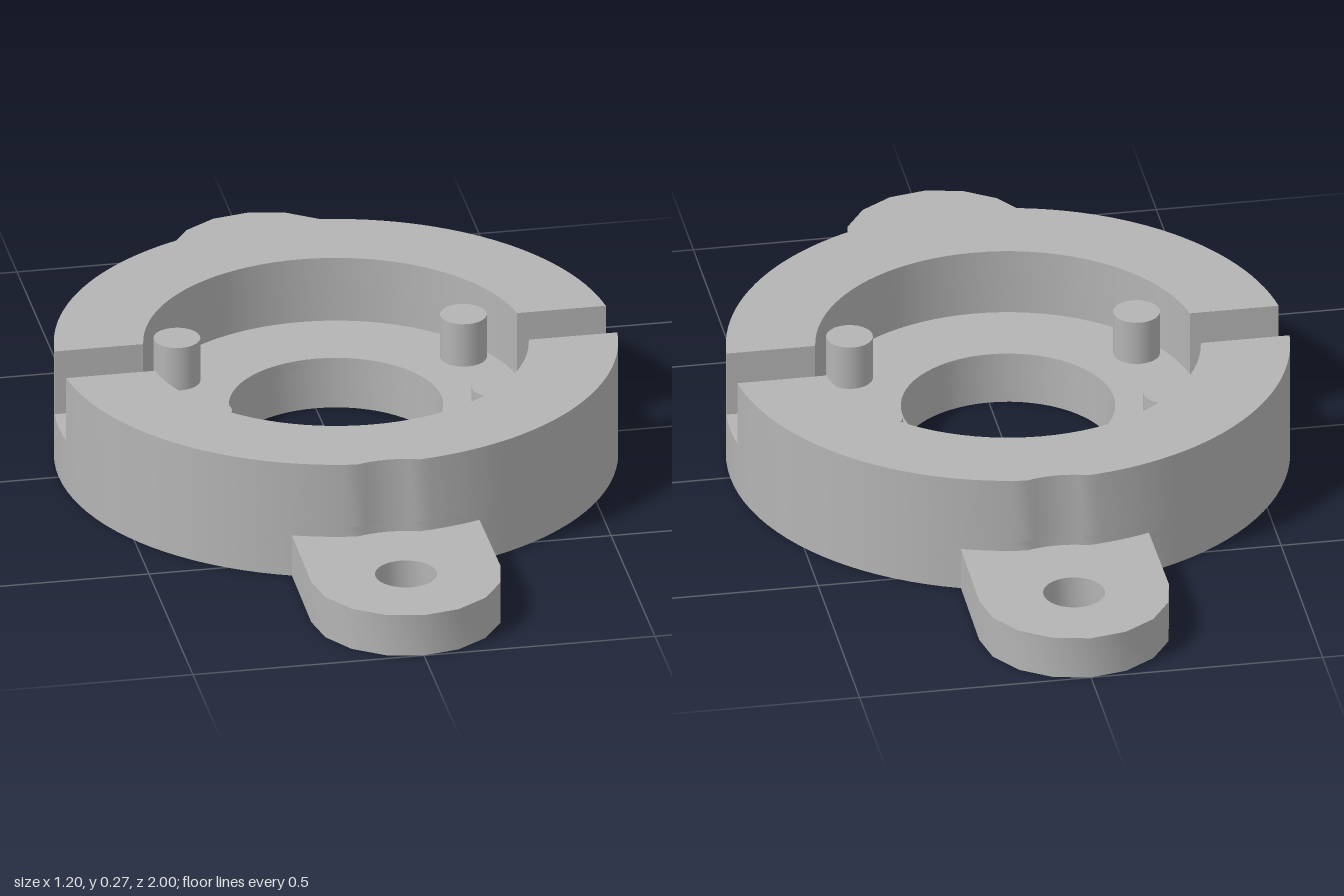
import * as THREE from 'three';
import { toCreasedNormals } from 'three/addons/utils/BufferGeometryUtils.js';

const R = 0.6, INNER = 0.41, BORE = 0.228;      // body radii
const TAB_Z = 0.795, TAB_R = 0.205, CLEAR = 0.21; // tab centre, tab radius, screw-head clearance
const TAB_H = 0.095, FLOOR = 0.117, TOP = 0.265, SLOT = 0.066;

// points along an arc, from angle a to angle b
function arc(cx, cy, r, a, b, n) {
  const pts = [];
  for (let i = 0; i <= n; i++) {
    const t = a + (b - a) * i / n;
    pts.push(new THREE.Vector2(cx + r * Math.cos(t), cy + r * Math.sin(t)));
  }
  return pts;
}

const opposite = pts => pts.map(p => new THREE.Vector2(-p.x, -p.y));

// flat outline with round holes, standing between heights y0 and y1
function slab(points, holes, y0, y1) {
  const shape = new THREE.Shape(points);
  for (const [x, y, r, n] of holes) {
    shape.holes.push(new THREE.Path(arc(x, y, r, 0, -Math.PI * 2, n).slice(0, -1)));
  }
  const g = new THREE.ExtrudeGeometry(shape, { depth: y1 - y0, bevelEnabled: false });
  g.rotateX(-Math.PI / 2).translate(0, y0, 0);
  return toCreasedNormals(g, 0.42);
}

export function createModel() {
  const group = new THREE.Group();
  const grey = new THREE.MeshStandardMaterial({ color: 0xb4b4b4 });
  grey.name = 'grey';
  const add = (name, geometry) => {
    const mesh = new THREE.Mesh(geometry, grey);
    mesh.name = name;
    group.add(mesh);
    return mesh;
  };

  // base plate with two mounting tabs in one outline
  const tabAngle = Math.acos(0.203 / R);
  const halfBase = [
    ...arc(0, 0, R, tabAngle - Math.PI + 2 * (Math.PI / 2 - tabAngle) + 2 * tabAngle - Math.PI + Math.PI - tabAngle - tabAngle, tabAngle, 40),
    ...arc(0, TAB_Z, TAB_R, 0, Math.PI, 8),
  ];
  add('basePlate', slab([...halfBase, ...opposite(halfBase)],
    [[0, 0, BORE, 64], [0, TAB_Z, 0.066, 32], [0, -TAB_Z, 0.066, 32]], 0, TAB_H));

  // body edge with a shallow screw-head clearance beside each tab
  const ny = (TAB_Z * TAB_Z + R * R - CLEAR * CLEAR) / (2 * TAB_Z);
  const nx = Math.sqrt(R * R - ny * ny);
  const ringA = Math.atan2(ny, nx);
  const notchA = Math.atan2(ny - TAB_Z, nx);
  const notchedEdge = start => [
    ...arc(0, 0, R, start, ringA, 28),
    ...arc(0, TAB_Z, CLEAR, notchA, -Math.PI - notchA, 6).slice(1, -1),
    ...arc(0, 0, R, Math.PI - ringA, Math.PI - start, 28),
  ];

  // inner floor
  const halfFloor = notchedEdge(0).slice(0, -1);
  add('floor', slab([...halfFloor, ...opposite(halfFloor)], [[0, 0, BORE, 64]], TAB_H, FLOOR));

  // two wall halves, parted by the side slots
  const slotOut = Math.asin(SLOT / R), slotIn = Math.asin(SLOT / INNER);
  const halfWall = [
    ...notchedEdge(slotOut),
    ...arc(0, 0, INNER, Math.PI - slotIn, slotIn, 40),
  ];
  add('backWall', slab(halfWall, [], FLOOR, TOP));
  add('frontWall', slab(opposite(halfWall), [], FLOOR, TOP));

  // four locating pegs
  const pegGeometry = new THREE.CylinderGeometry(0.05, 0.05, 0.1, 24);
  for (const x of [-0.31, 0.31]) {
    for (const z of [-0.18, 0.18]) {
      add('peg', pegGeometry).position.set(x, FLOOR + 0.05, z);
    }
  }
  return group;
}
